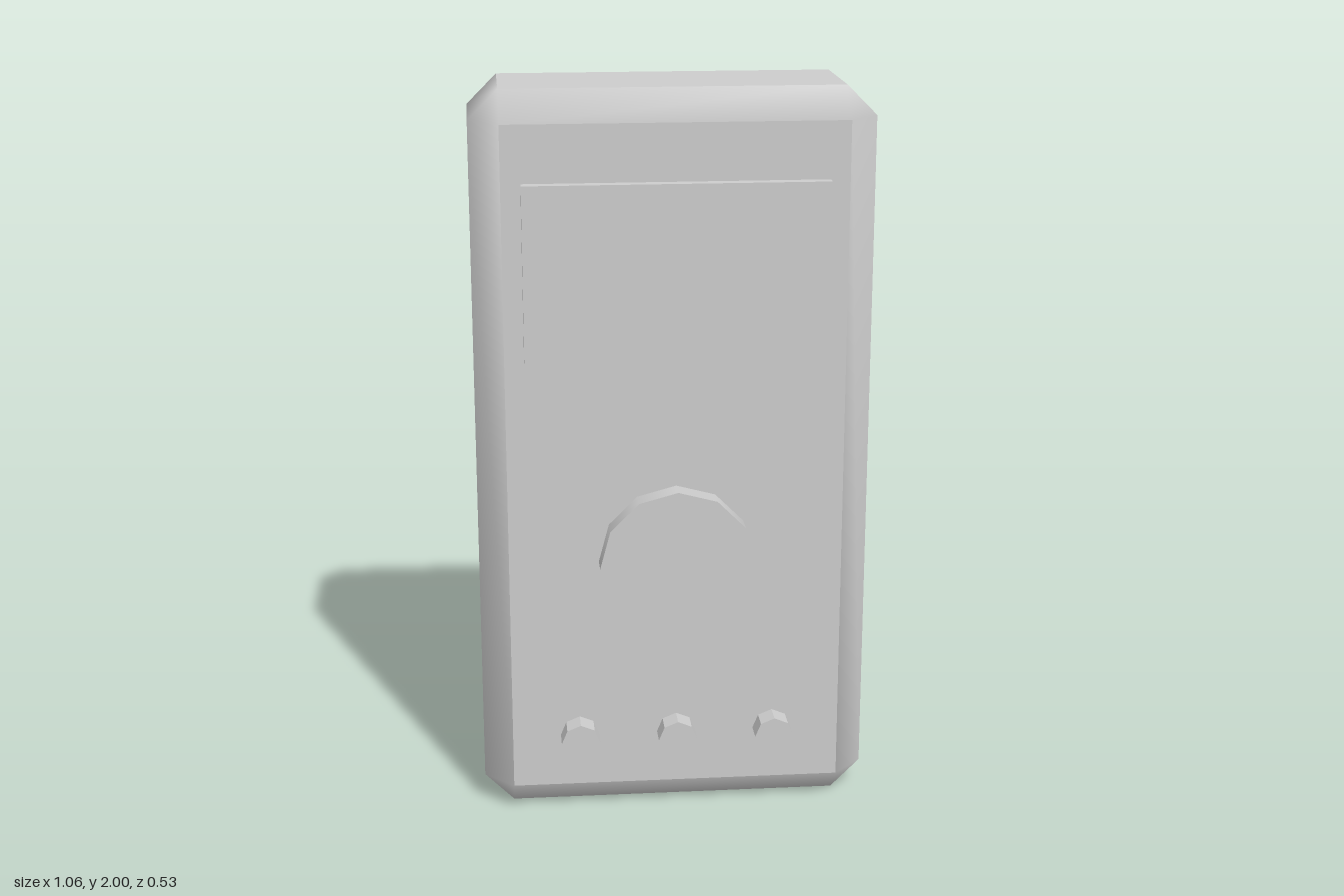
import * as THREE from 'three';

const grey = new THREE.MeshStandardMaterial({ color: 0xcccccc });
grey.name = 'casing grey';

// Adds a convex polygon as a triangle fan, wound to face away from the box centre
function addPolygon(index, points, ids) {
  const [a, b, c] = ids.map((i) => points[i]);
  const normal = b.clone().sub(a).cross(c.clone().sub(a));
  const order = normal.dot(a) < 0 ? [...ids].reverse() : ids;
  for (let i = 1; i < order.length - 1; i++) index.push(order[0], order[i], order[i + 1]);
}

function indexedGeometry(points, index) {
  const geometry = new THREE.BufferGeometry().setFromPoints(points);
  geometry.setIndex(index);
  return geometry;
}

// Box with one-step bevels: flat panels, softly shaded bevel band
function bevelledBox(half, bevel) {
  const points = [];
  const panels = [], bevels = [];
  // Three vertices per corner, one lying on each neighbouring panel
  for (let corner = 0; corner < 8; corner++) {
    for (let axis = 0; axis < 3; axis++) {
      const p = half.map((h, k) => ((corner >> k) & 1 ? 1 : -1) * (k === axis ? h : h - bevel));
      points.push(new THREE.Vector3(...p));
    }
    addPolygonLater(corner);
  }
  function addPolygonLater(corner) {
    addPolygon(bevels, points, [corner * 3, corner * 3 + 1, corner * 3 + 2]);
  }
  const id = (corner, axis) => corner * 3 + axis;
  for (let axis = 0; axis < 3; axis++) {
    const u = (axis + 1) % 3, v = (axis + 2) % 3;
    const bu = 1 << u, bv = 1 << v, ba = 1 << axis;
    // Panels across this axis
    for (const s of [0, ba]) {
      addPolygon(panels, points, [s, s | bu, s | bu | bv, s | bv].map((c) => id(c, axis)));
    }
    // Bevels running along this axis
    for (const c of [0, bu, bv, bu | bv]) {
      addPolygon(bevels, points, [id(c, u), id(c | ba, u), id(c | ba, v), id(c, v)]);
    }
  }
  return [indexedGeometry(points, panels), indexedGeometry(points, bevels)].map((g) => {
    g.computeVertexNormals();
    return g;
  });
}

// Short cylinder standing out from the front panel
function frontDisc(radius, sides, depth, flat) {
  let geometry = new THREE.CylinderGeometry(radius, radius, depth, sides).rotateX(Math.PI / 2);
  if (flat) {
    geometry = geometry.toNonIndexed();
    geometry.computeVertexNormals();
  }
  return geometry;
}

export function createModel() {
  const model = new THREE.Group();
  model.name = 'handheldMeter';
  const add = (name, geometry, x, y, z) => {
    const mesh = new THREE.Mesh(geometry, grey);
    mesh.name = name;
    mesh.position.set(x, y, z);
    model.add(mesh);
  };

  // Casing
  const [panels, bevels] = bevelledBox([0.532, 1, 0.234], 0.08);
  add('casingPanels', panels, 0, 1, -0.031);
  add('casingBevels', bevels, 0, 1, -0.031);

  // Display
  add('screen', new THREE.BoxGeometry(0.8, 0.466, 0.07), 0, 1.535, 0.2);

  // Selector dial and the row of sockets
  add('dial', frontDisc(0.21, 12, 0.065, false), 0, 0.737, 0.2325);
  for (const x of [-0.267, 0, 0.267]) {
    add('socket', frontDisc(0.053, 8, 0.065, true), x, 0.23, 0.2325);
  }
  return model;
}
